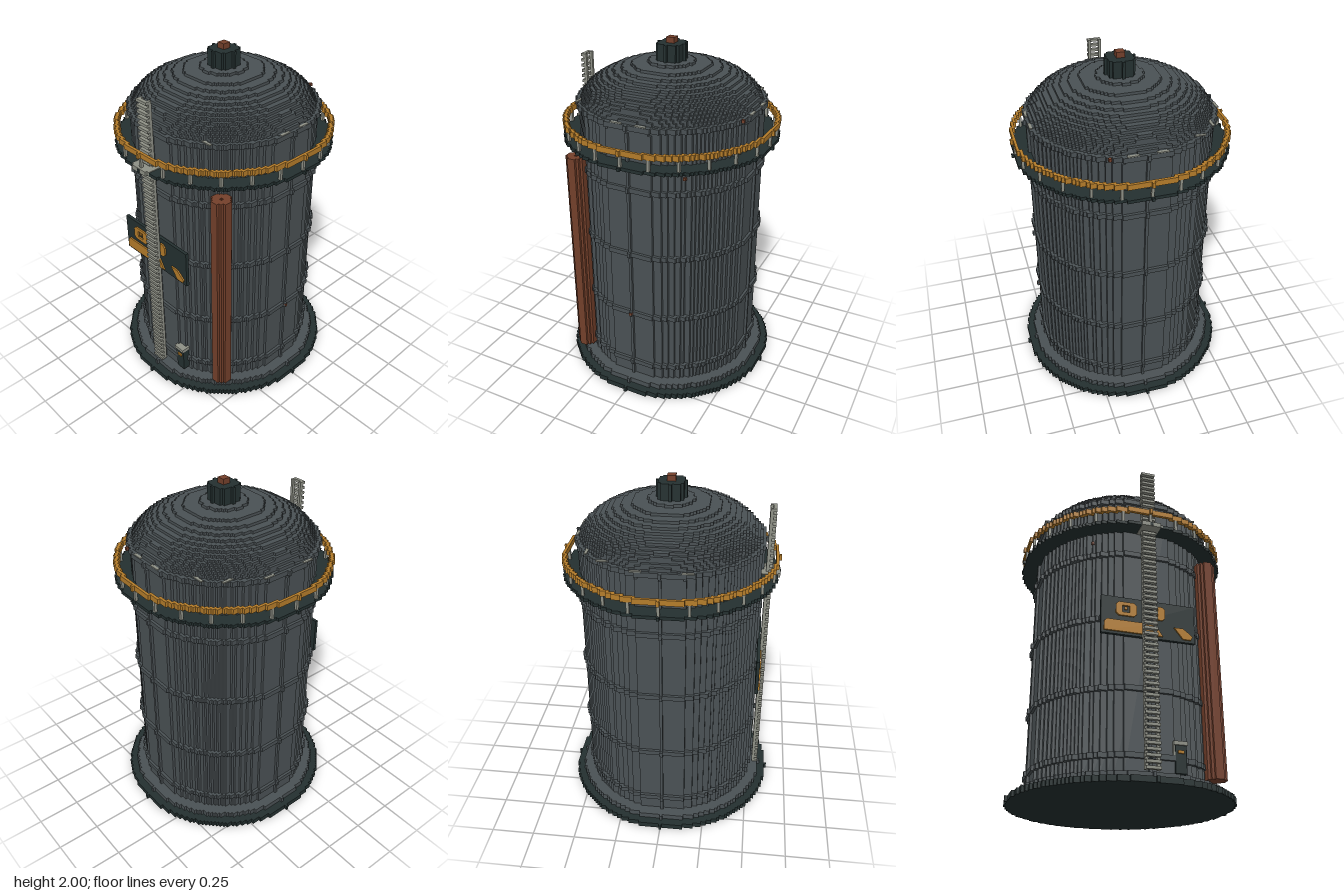
import * as THREE from 'three';
import { mergeGeometries } from 'three/addons/utils/BufferGeometryUtils.js';

const V = 1 / 64; // size of one block; the tank is 128 blocks tall

const mat = (name, color) => {
  const m = new THREE.MeshStandardMaterial({ color });
  m.name = name;
  return m;
};

// box from block coordinates
function block(x0, x1, y0, y1, z0, z1) {
  return new THREE.BoxGeometry((x1 - x0) * V, (y1 - y0) * V, (z1 - z0) * V)
    .translate((x0 + x1) / 2 * V, (y0 + y1) / 2 * V, (z0 + z1) / 2 * V);
}

// stepped disc or ring, built as one box per run of blocks in each row
function disc(r, y0, y1, inner = -1, cx = 0, cz = 0) {
  const boxes = [], n = Math.ceil(r);
  const filled = (x, z) => {
    const d = x * x + z * z;
    return d <= r * r && (inner < 0 || d > inner * inner);
  };
  for (let z = -n; z <= n; z++) {
    let start = null;
    for (let x = -n; x <= n + 1; x++) {
      if (filled(x, z)) {
        if (start === null) start = x;
      } else if (start !== null) {
        boxes.push(block(cx + start - 0.5, cx + x - 0.5, y0, y1, cz + z - 0.5, cz + z + 0.5));
        start = null;
      }
    }
  }
  return mergeGeometries(boxes);
}

// thin painted plate from outline points in units
function plate(points, z, hole) {
  const toVec = ([x, y]) => new THREE.Vector2(x, y);
  const shape = new THREE.Shape(points.map(toVec));
  if (hole) shape.holes.push(new THREE.Path(hole.map(toVec)));
  return new THREE.ExtrudeGeometry(shape, { depth: 0.009, bevelEnabled: false }).translate(0, 0, z);
}

export function createModel() {
  const model = new THREE.Group();
  model.name = 'storageTank';
  const steel = mat('slate steel', 0x4a5154);
  const dark = mat('dark green steel', 0x243030);
  const amber = mat('amber paint', 0xb47c2a);
  const rust = mat('rust brown', 0x74402b);
  const pale = mat('pale metal', 0x8e9086);

  const add = (name, material, ...geometries) => {
    const mesh = new THREE.Mesh(geometries.length > 1 ? mergeGeometries(geometries) : geometries[0], material);
    mesh.name = name;
    model.add(mesh);
  };

  // base and wall
  add('basePlate', dark, disc(40, 0, 2));
  add('baseStep', steel, disc(37, 2, 4));
  add('tankWall', steel, disc(33, 4, 104));
  add('wallBands', steel, ...[9, 31.5, 57, 82.5, 105].map(y => disc(34, y, y + 1.8, 31)));

  // domed roof in stepped layers
  const layers = [];
  for (let i = 0; i < 16; i++) {
    layers.push(disc(33 * Math.sqrt(1 - ((i + 0.5) / 16) ** 2), 104 + i, 105 + i));
  }
  add('domeRoof', steel, ...layers);
  add('roofVent', dark, disc(5, 120, 126));
  add('ventCap', rust, block(-1.5, 1.5, 126, 128, -1.5, 1.5));

  // walkway with posts and handrail
  add('walkwayDeck', dark, disc(39, 92.8, 94, 32));
  add('handrail', amber, disc(39, 98, 100, 37.7));
  const posts = [];
  for (let i = 0; i < 24; i++) {
    const a = i / 24 * Math.PI * 2;
    const x = Math.round(38 * Math.sin(a)), z = Math.round(38 * Math.cos(a));
    posts.push(block(x - 0.5, x + 0.5, 94, 98, z - 0.5, z + 0.5));
  }
  add('railPosts', pale, ...posts);
  add('ladderLanding', pale, block(-4.5, 4.5, 93, 94.3, 32, 38.5), block(-3.5, 3.5, 92.6, 94.3, 32, 39.3));

  // ladder
  const ladder = [-2, 2].map(x => block(x - 0.5, x + 0.5, 5, 118, 34.2, 35.3));
  for (let y = 5; y < 118; y += 2) ladder.push(block(-2.5, 2.5, y, y + 1, 35.2, 36.5));
  add('ladder', pale, ...ladder);

  // drain pipe standing beside the wall
  add('standPipe', rust, disc(3.3, 5.5, 88, 0.5, 25.6, 25.6), block(25, 26.2, 5.5, 87, 25, 26.2));

  // sign board with painted marks
  add('signBoard', dark, block(-17, 16.7, 50.6, 64.7, 33, 34.2));
  const z = 34.2 * V;
  add('signMarks', amber,
    plate([[-0.17, 0.9], [-0.085, 0.9], [-0.07, 0.915], [-0.07, 0.965], [-0.085, 0.98], [-0.17, 0.98],
      [-0.185, 0.965], [-0.185, 0.915]], z,
      [[-0.15, 0.92], [-0.15, 0.96], [-0.108, 0.96], [-0.108, 0.92]]),
    plate([[-0.25, 0.805], [0.075, 0.805], [0.035, 0.87], [-0.235, 0.87], [-0.25, 0.855]], z),
    plate([[0.05, 0.9], [0.075, 0.9], [0.09, 0.915], [0.09, 0.965], [0.075, 0.98], [0.05, 0.98]], z),
    plate([[0.19, 0.805], [0.235, 0.805], [0.245, 0.825], [0.215, 0.85], [0.19, 0.868], [0.14, 0.868]], z));
  add('signDots', amber, block(-8.8, -7.8, 60, 61, 34.2, 34.7));

  // control box
  add('controlBox', dark, block(8.4, 12.2, 5, 14.2, 30, 33.4));
  add('controlHood', pale, block(7.8, 12.5, 14.2, 15.5, 30, 34));
  add('controlEdge', pale, block(7.8, 8.4, 10, 14.2, 31, 33.2));
  add('controlLamp', amber, block(9.3, 11.3, 11.5, 12.5, 33.4, 33.9));

  // worn patches on the upper band, and rust flecks
  const patch = (x, y, z, w, d) => block(x - w, x + w, y, y + 0.4, z - d, z + d);
  add('wornPatches', pale,
    ...[[-5, -32.9], [5, -32.9], [-20, -26.6], [20, 26.6]].map(([x, z]) => patch(x, 106.7, z, 2, 0.5)),
    ...[[32.9, -5], [32.9, 4], [-32.9, -8], [-32.9, 9], [-26.6, -20]].map(([x, z]) => patch(x, 106.7, z, 0.5, 2)));
  add('rustFlecks', rust,
    block(33.6, 34.6, 32, 33, -0.5, 0.5), block(-19, -18, 88.5, 89.5, 27, 28),
    block(27, 28, 88.5, 89.5, -19, -18), block(12, 13, 106, 107.1, -33, -32));

  return model;
}
